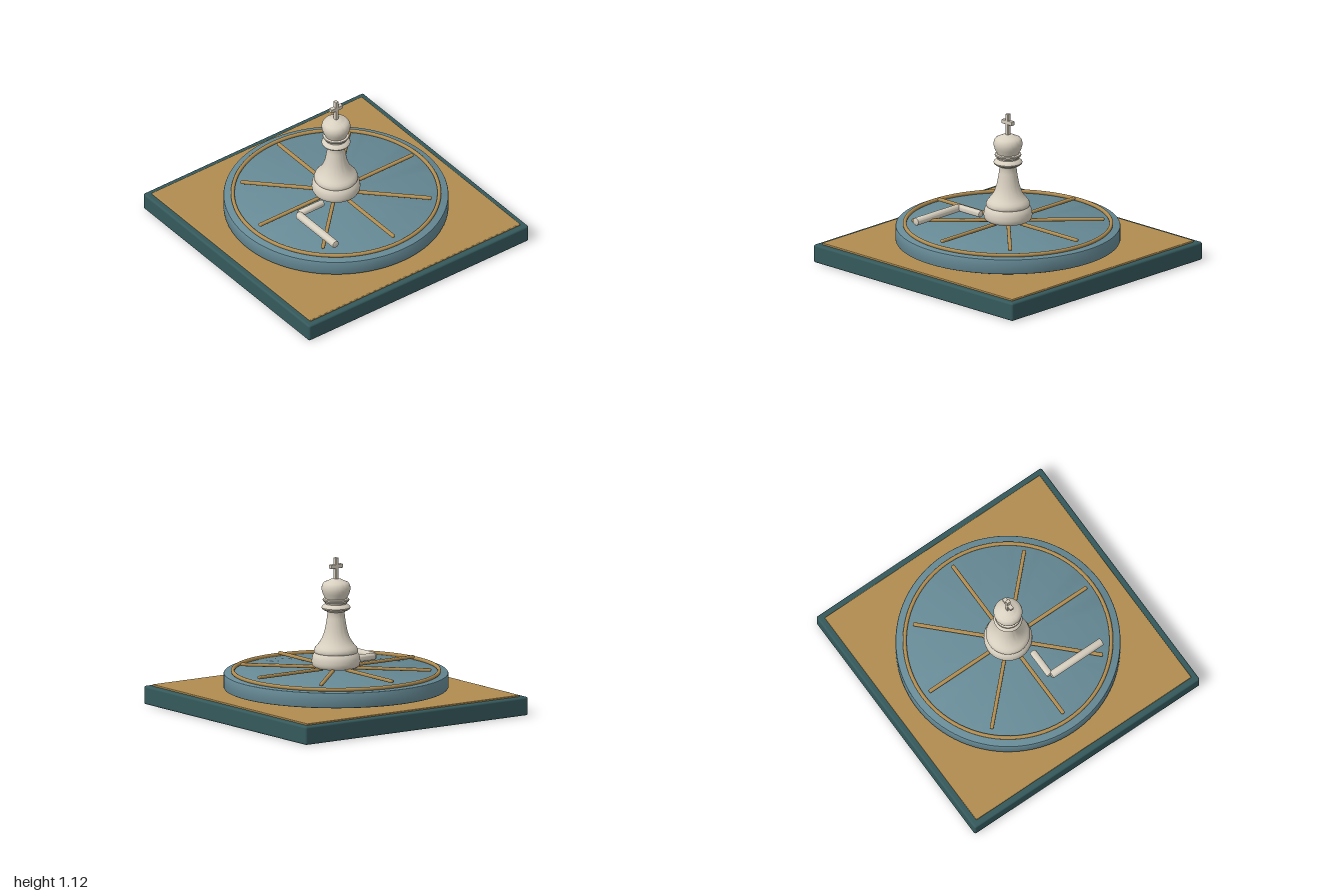
import * as THREE from 'three';
import { toCreasedNormals } from 'three/addons/utils/BufferGeometryUtils.js';
import { RoundedBoxGeometry } from 'three/addons/geometries/RoundedBoxGeometry.js';

const mat = (name, color) => Object.assign(new THREE.MeshStandardMaterial({ color }), { name });

export function createModel() {
  const teal = mat('dark teal', 0x35595c);
  const gold = mat('brass', 0xb08c50);
  const blue = mat('slate blue', 0x668a96);
  const ivory = mat('ivory', 0xd8d0c0);

  const model = new THREE.Group();
  model.name = 'chessKingSundial';
  const add = (name, geometry, material, x = 0, y = 0, z = 0, parent = model) => {
    const mesh = new THREE.Mesh(geometry, material);
    mesh.name = name;
    mesh.position.set(x, y, z);
    parent.add(mesh);
    return mesh;
  };
  const lathe = (points, segments = 64) =>
    toCreasedNormals(new THREE.LatheGeometry(points.map(([r, y]) => new THREE.Vector2(r, y)), segments), 0.6);
  // Upright rod with slightly rounded ends, centred on its middle
  const rod = (r, length, b) => {
    const h = length / 2;
    return lathe([[0, -h], [r - b, -h], [r - b * 0.3, -h + b * 0.3], [r, -h + b],
      [r, h - b], [r - b * 0.3, h - b * 0.3], [r - b, h], [0, h]], 32);
  };

  // Square plinth with a brass top sheet
  add('plinth', new RoundedBoxGeometry(2, 0.136, 2, 3, 0.015), teal, 0, 0.068, 0);
  add('plinthSheet', new RoundedBoxGeometry(1.91, 0.024, 1.91, 2, 0.006), gold, 0, 0.136, 0);

  // Round dial raised just above the plinth
  add('dial', lathe([[0, 0.163], [0.808, 0.163], [0.814, 0.166], [0.817, 0.172],
    [0.817, 0.268], [0.814, 0.274], [0.808, 0.277], [0, 0.277]], 96), blue);
  add('dialRing', new THREE.TorusGeometry(0.75, 0.014, 12, 96).rotateX(Math.PI / 2), gold, 0, 0.289, 0);

  // Eight hour bars
  const bars = new THREE.Group();
  bars.name = 'hourBars';
  model.add(bars);
  for (let i = 0; i < 8; i++) {
    const a = (i * Math.PI) / 4;
    const bar = add('hourBar', new RoundedBoxGeometry(0.58, 0.024, 0.028, 3, 0.01), gold,
      Math.cos(a) * 0.41, 0.314, -Math.sin(a) * 0.41, bars);
    bar.rotation.y = a;
  }

  // Bent pointer: two rods meeting at a corner
  const pointer = new THREE.Group();
  pointer.name = 'pointer';
  model.add(pointer);
  add('pointerShortRod', rod(0.026, 0.22, 0.008).rotateZ(Math.PI / 2), ivory, -0.296, 0.336, 0.087, pointer);
  add('pointerLongRod', rod(0.029, 0.45, 0.008).rotateX(Math.PI / 2), ivory, -0.411, 0.334, 0.317, pointer);

  // Turned chess king
  const king = new THREE.Group();
  king.name = 'king';
  model.add(king);
  add('kingBody', lathe([
    [0, 0.318], [0.155, 0.318], [0.168, 0.327], [0.175, 0.342], [0.177, 0.36], [0.175, 0.385],
    [0.169, 0.405], [0.16, 0.418], [0.155, 0.425], [0.16, 0.432], [0.161, 0.44], [0.153, 0.46],
    [0.14, 0.476], [0.125, 0.493], [0.108, 0.52], [0.094, 0.55], [0.083, 0.585], [0.074, 0.63],
    [0.066, 0.68], [0.062, 0.715], [0.066, 0.728], [0.088, 0.738], [0.102, 0.748], [0.105, 0.757],
    [0.1, 0.768], [0.086, 0.778], [0.078, 0.784], [0.08, 0.794], [0.092, 0.803], [0.097, 0.812],
    [0.095, 0.82], [0.08, 0.824], [0.083, 0.832], [0.097, 0.86], [0.104, 0.885], [0.105, 0.905],
    [0.1, 0.925], [0.09, 0.94], [0.07, 0.95], [0.055, 0.955], [0.042, 0.963], [0.02, 0.968], [0, 0.969],
  ]), ivory, 0, 0, 0, king);
  add('crossUpright', new RoundedBoxGeometry(0.027, 0.172, 0.032, 2, 0.004), ivory, 0, 1.038, 0, king);
  add('crossArm', new RoundedBoxGeometry(0.104, 0.03, 0.032, 2, 0.004), ivory, 0, 1.06, 0, king);

  return model;
}
